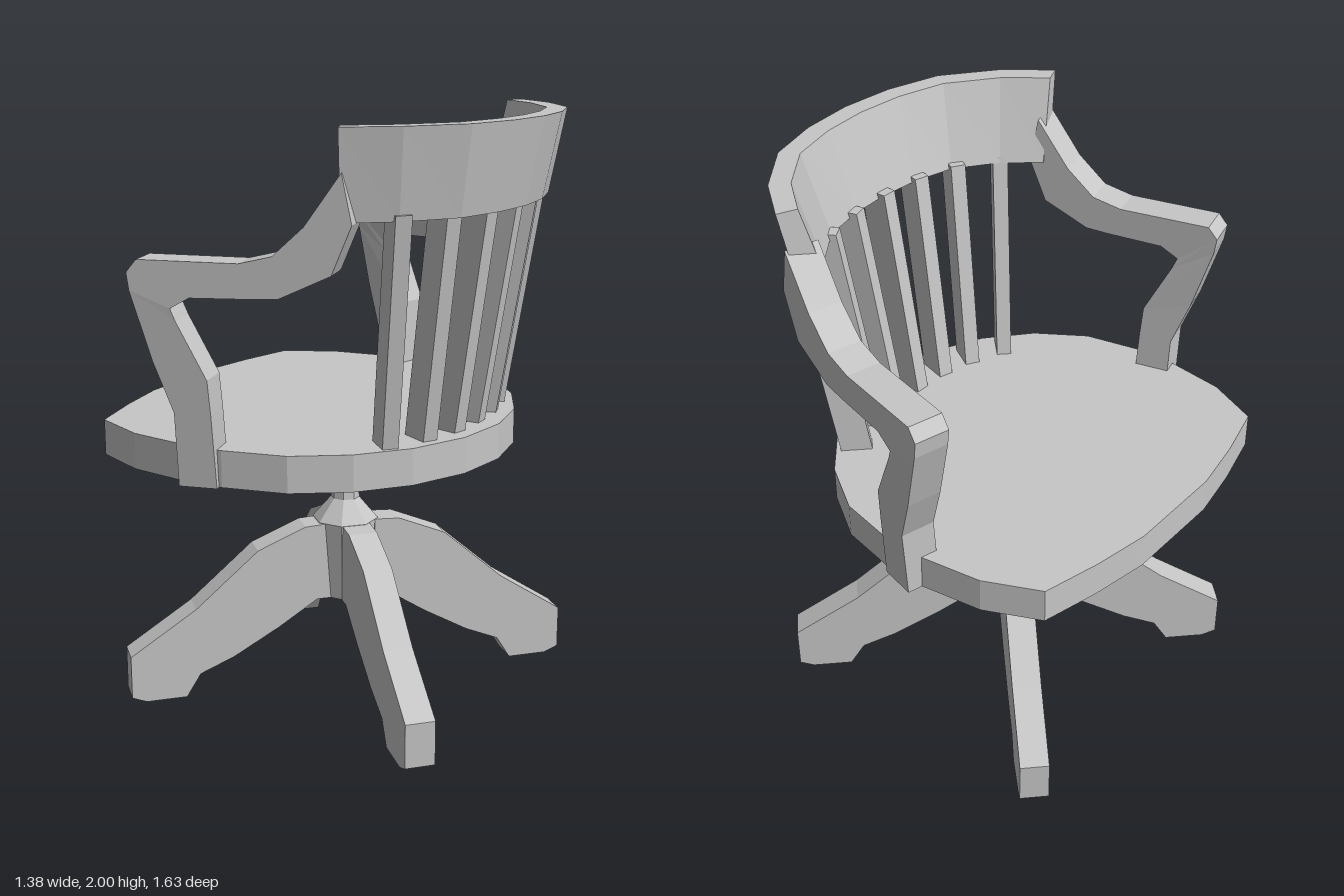
import * as THREE from 'three';

const grey = new THREE.MeshStandardMaterial({ color: 0xc6c6c6, flatShading: true });
grey.name = 'plain grey';

// Skin a row of equal-sized rings into a closed, flat-faced solid
function loft(rings) {
  const tris = [];
  const n = rings[0].length;
  for (let i = 0; i < rings.length - 1; i++) {
    for (let j = 0; j < n; j++) {
      const k = (j + 1) % n;
      const a = rings[i][j], b = rings[i][k], c = rings[i + 1][k], d = rings[i + 1][j];
      tris.push([a, b, c], [a, c, d]);
    }
  }
  const first = rings[0], last = rings[rings.length - 1];
  for (let j = 1; j < n - 1; j++) {
    tris.push([first[0], first[j + 1], first[j]], [last[0], last[j], last[j + 1]]);
  }
  // Turn the faces outward whichever way the rings were listed
  let volume = 0;
  const v = (p) => new THREE.Vector3(...p);
  for (const [a, b, c] of tris) volume += v(a).dot(v(b).cross(v(c)));
  if (volume < 0) tris.forEach((t) => t.reverse());
  const geometry = new THREE.BufferGeometry();
  geometry.setAttribute('position', new THREE.Float32BufferAttribute(tris.flat(2), 3));
  geometry.computeVertexNormals();
  return geometry;
}

export function createModel() {
  const model = new THREE.Group();
  model.name = 'swivelChair';
  const add = (name, geometry) => {
    const mesh = new THREE.Mesh(geometry, grey);
    mesh.name = name;
    model.add(mesh);
    return mesh;
  };
  // Complete a half outline (z from 0 outward) by mirroring it in z
  const mirrored = (half) => [
    ...half,
    ...half.filter(([, z]) => z > 0).reverse().map(([x, z]) => [x, -z]),
  ];

  // Seat slab
  const seatHalf = [
    [-0.69, 0], [-0.69, 0.18], [-0.655, 0.38], [-0.605, 0.58], [-0.42, 0.665], [-0.21, 0.695],
    [-0.07, 0.695], [0.14, 0.65], [0.31, 0.54], [0.44, 0.39], [0.53, 0.2], [0.56, 0],
  ];
  const outline = mirrored(seatHalf);
  add('seat', loft([0.88, 1].map((y) => outline.map(([x, z]) => [x, y, z]))));

  // Curved back rail, leaning outward and thicker at the bottom
  const railHalf = [[0.33, 0.67], [0.48, 0.555], [0.615, 0.38], [0.67, 0.19], [0.687, 0]];
  const railPath = [...railHalf, ...railHalf.slice(0, -1).reverse().map(([x, z]) => [x, -z])];
  const railProfile = [[0, 2], [0.055, 1.72], [0.15, 1.72], [0.07, 2]];
  add('backRail', loft(railPath.map(([x, z]) => {
    const r = Math.hypot(x - 0.05, z);
    return railProfile.map(([inset, y]) => [x - inset * (x - 0.05) / r, y, z - inset * z / r]);
  })));

  // Seven slats fanned around the back
  const slatFeet = [[0.345, -0.395], [0.405, -0.265], [0.437, -0.135], [0.445, 0],
    [0.437, 0.135], [0.405, 0.265], [0.345, 0.395]];
  slatFeet.forEach(([x, z]) => {
    const angle = z * 2;
    const c = Math.cos(angle), s = Math.sin(angle);
    const corners = [[-0.053, -0.026], [0.053, -0.026], [0.053, 0.026], [-0.053, 0.026]];
    add('backSlat', loft([[1, 0], [1.74, 0.117]].map(([y, lean]) => corners.map(
      ([u, w]) => [x + (u + lean) * c - w * s, y, z + (u + lean) * s + w * c],
    ))));
  });

  // Arms: each row is the outer and inner edge as x, y, x, y
  const armRows = [
    [-0.21, 0.88, -0.09, 0.88], [-0.21, 1.12, -0.095, 1.12], [-0.265, 1.28, -0.1, 1.23],
    [-0.325, 1.5, -0.185, 1.41], [-0.332, 1.555, -0.2, 1.45], [-0.3, 1.595, -0.14, 1.485],
    [0.01, 1.595, 0.05, 1.49], [0.11, 1.62, 0.13, 1.495], [0.205, 1.71, 0.285, 1.57],
    [0.315, 1.87, 0.345, 1.72],
  ];
  for (const side of [1, -1]) {
    const place = (x, y, w) => [
      x + w * 0.25, y,
      side * (0.674 - 0.257 * x - 0.07 * Math.max(0, 1.45 - y) + w * 0.97),
    ];
    add('armrest', loft(armRows.map(([ox, oy, ix, iy]) => [
      place(ox, oy, -0.058), place(ox, oy, 0.058), place(ix, iy, 0.058), place(ix, iy, -0.058),
    ])));
  }

  // Eight-sided pedestal: hub, thin neck and flared cup under the seat
  const pedestal = new THREE.LatheGeometry([
    [0, 0.31], [0.1, 0.31], [0.115, 0.585], [0.05, 0.66], [0.045, 0.735],
    [0.115, 0.775], [0.132, 0.88], [0, 0.88],
  ].map(([r, y]) => new THREE.Vector2(r, y)), 8, Math.PI / 8);
  add('pedestal', pedestal).position.x = -0.015;

  // Four curved legs set on the diagonals
  const legShape = new THREE.Shape([
    [0.08, 0.31], [0.13, 0.31], [0.27, 0.22], [0.43, 0.13], [0.55, 0.08], [0.6, 0],
    [0.74, 0], [0.79, 0.02], [0.79, 0.17], [0.56, 0.32], [0.34, 0.51], [0.17, 0.58], [0.08, 0.585],
  ].map(([r, y]) => new THREE.Vector2(r, y)));
  for (let i = 0; i < 4; i++) {
    const leg = new THREE.ExtrudeGeometry(legShape, { depth: 0.1, bevelEnabled: false });
    leg.translate(0, 0, -0.05);
    leg.rotateY(Math.PI / 4 + i * Math.PI / 2);
    add('leg', leg);
  }

  return model;
}
